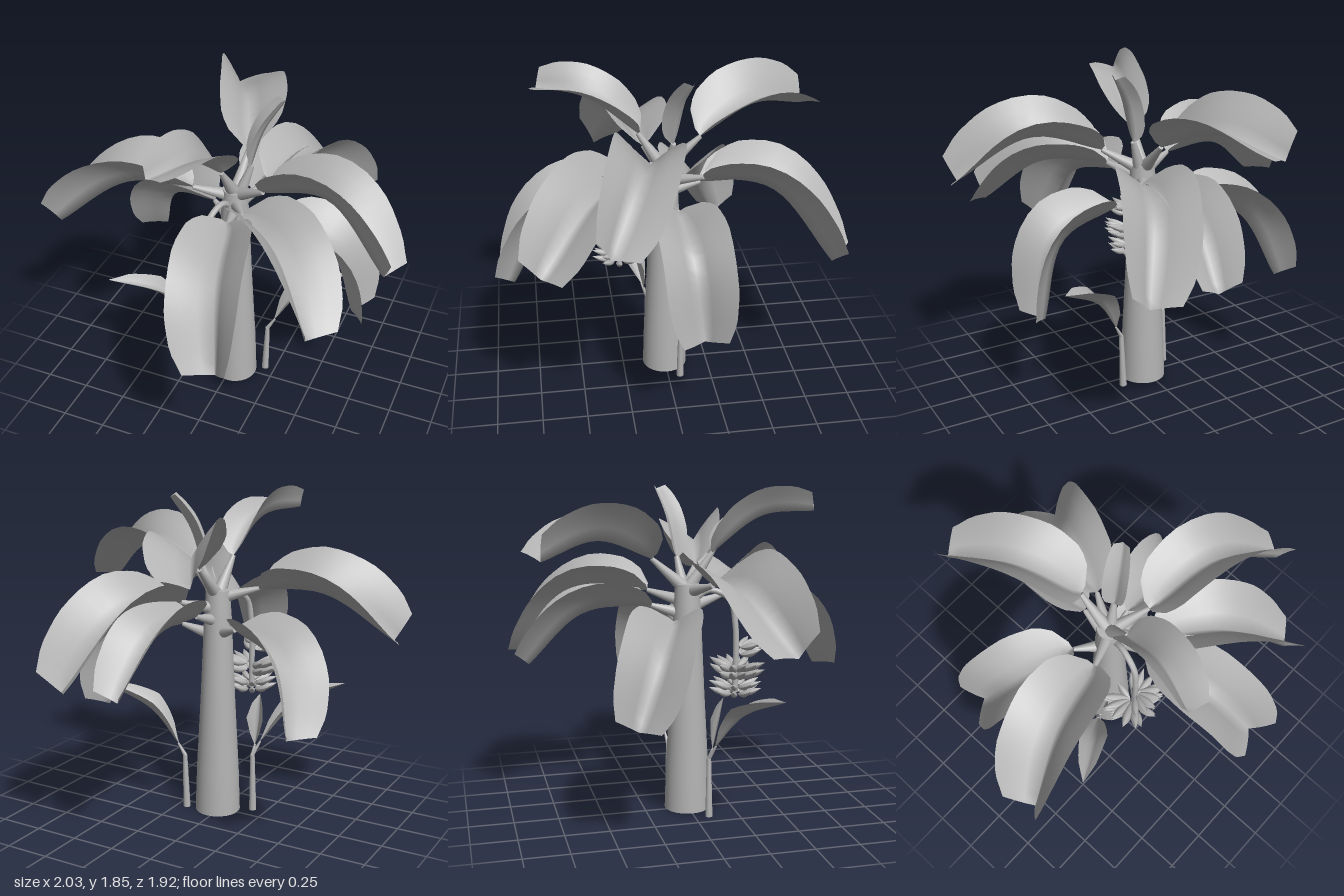
import * as THREE from 'three';

const plant = new THREE.MeshStandardMaterial({ color: 0xb3b3b3, side: THREE.DoubleSide });
plant.name = 'plantGrey';

const V = (p) => new THREE.Vector3(...p);

function add(parent, name, geometry) {
  const mesh = new THREE.Mesh(geometry, plant);
  mesh.name = name;
  parent.add(mesh);
  return mesh;
}

// Tapered round rod between two points
function rod(parent, name, a, b, r0, r1) {
  const dir = b.clone().sub(a);
  const mesh = add(parent, name, new THREE.CylinderGeometry(r1, r0, dir.length(), 12));
  mesh.position.copy(a).addScaledVector(dir, 0.5);
  mesh.quaternion.setFromUnitVectors(new THREE.Vector3(0, 1, 0), dir.normalize());
}

// Half-width along the blade, as [position, width] stops
const BROAD = [[0, 0.2], [0.06, 0.6], [0.16, 0.86], [0.35, 1], [0.65, 0.98], [0.85, 0.86], [1, 0.63]];
const POINTED = [[0, 0.05], [0.2, 0.55], [0.5, 1], [0.8, 0.65], [1, 0.02]];

function widthAt(stops, t) {
  let i = 1;
  while (i < stops.length - 1 && stops[i][0] < t) i++;
  const [t0, w0] = stops[i - 1], [t1, w1] = stops[i];
  return w0 + (w1 - w0) * (t - t0) / (t1 - t0);
}

// Blade folded into a trough along a curved midrib, twisting towards its tip
function bladeGeometry(points, width, twistDeg, stops, fold) {
  const curve = new THREE.CatmullRomCurve3(points);
  const heading = points[1].clone().sub(points[0]).setY(0).normalize();
  const side = heading.cross(new THREE.Vector3(0, 1, 0)).normalize();
  const rows = 16, cols = 7, pos = [], index = [];
  for (let i = 0; i <= rows; i++) {
    const t = i / rows;
    const p = curve.getPointAt(t), T = curve.getTangentAt(t);
    const N = side.clone().cross(T).normalize();
    const S = T.clone().cross(N).normalize();
    const w = width * widthAt(stops, t);
    const roll = THREE.MathUtils.degToRad(twistDeg * t);
    for (let j = 0; j < cols; j++) {
      const u = (j - 3) / 3, a = Math.abs(u);
      // each half curls slightly outward towards its rim
      const ang = THREE.MathUtils.degToRad(fold + 8 * (1 - a));
      const x = Math.sign(u) * a * w * Math.cos(ang), y = a * w * Math.sin(ang);
      const q = p.clone()
        .addScaledVector(S, x * Math.cos(roll) + y * Math.sin(roll))
        .addScaledVector(N, y * Math.cos(roll) - x * Math.sin(roll));
      pos.push(q.x, q.y, q.z);
      if (i < rows && j < cols - 1) {
        const k = i * cols + j;
        index.push(k, k + 1, k + cols, k + 1, k + cols + 1, k + cols);
      }
    }
  }
  const g = new THREE.BufferGeometry();
  g.setAttribute('position', new THREE.Float32BufferAttribute(pos, 3));
  g.setIndex(index);
  g.computeVertexNormals();
  return g;
}

// Crown leaves: midrib base, middle and tip, half-width, twist in degrees
const CROWN = [
  [[0.22, 1.39, 0.1], [0.6, 1.49, 0.19], [0.96, 1.25, 0.38], 0.245, -25],
  [[-0.19, 1.32, 0.09], [-0.55, 1.31, 0.17], [-0.9, 1.06, 0.32], 0.28, 27],
  [[0, 1.48, 0.14], [-0.05, 1.68, 0.41], [-0.16, 1.71, 0.67], 0.175, -28],
  [[0.02, 1.45, -0.2], [-0.12, 1.57, -0.52], [-0.31, 1.49, -0.84], 0.255, 25],
  [[0.14, 1.26, -0.2], [0.27, 1.23, -0.55], [0.465, 0.87, -0.85], 0.27, -12],
  [[0.04, 1.19, -0.2], [0.05, 1.16, -0.58], [0.09, 0.88, -0.88], 0.22, 12],
  [[0.22, 1.1, -0.05], [0.55, 0.98, -0.08], [0.69, 0.57, -0.12], 0.25, 8],
  [[-0.15, 1.12, -0.11], [-0.46, 1.01, -0.25], [-0.61, 0.66, -0.41], 0.255, -12],
  [[0.14, 1.28, 0.19], [0.43, 1.27, 0.44], [0.68, 1.01, 0.71], 0.27, -27],
  [[0.07, 1.23, 0.22], [0.16, 1.12, 0.6], [0.26, 0.76, 0.85], 0.265, 23],
];

// Plump curved fruit pointing along +x with its tip turned up
function fruitGeometry() {
  const radii = [0, 0.009, 0.016, 0.019, 0.019, 0.015, 0.008, 0];
  const g = new THREE.LatheGeometry(radii.map((r, i) => new THREE.Vector2(r, i / 7 * 0.13)), 8);
  g.rotateZ(-Math.PI / 2);
  const p = g.attributes.position;
  for (let i = 0; i < p.count; i++) p.setY(i, p.getY(i) + 2.2 * p.getX(i) ** 2);
  g.computeVertexNormals();
  return g;
}

export function createModel() {
  const model = new THREE.Group();
  model.name = 'fruitPalm';

  // Trunk, open underneath and capped on top
  const profile = [[0.13, 0], [0.122, 0.25], [0.098, 0.7], [0.078, 1.15], [0.067, 1.305], [0.066, 1.31], [0, 1.31]];
  const trunk = new THREE.LatheGeometry(profile.map(([r, y]) => new THREE.Vector2(r, y)), 28);
  add(model, 'trunk', trunk).position.x = 0.02;

  // Crown of large leaves on tapered stalks
  const crown = new THREE.Group();
  crown.name = 'crown';
  model.add(crown);
  for (const [a, b, c, width, twist] of CROWN) {
    const base = V(a);
    add(crown, 'crownLeaf', bladeGeometry([base, V(b), V(c)], width, twist, BROAD, 42));
    const root = new THREE.Vector3(0.02, Math.min(base.y - 0.06, 1.27), 0);
    rod(crown, 'leafStalk', root, base, 0.042, 0.013);
  }

  // Young upright leaf in the middle of the crown
  const shoot = V([0.1, 1.45, -0.04]);
  rod(crown, 'shootStalk', V([0.02, 1.2, 0]), shoot, 0.045, 0.015);
  add(crown, 'youngLeaf', bladeGeometry([shoot, V([0.16, 1.66, -0.07]), V([0.25, 1.82, -0.12])], 0.085, 0, BROAD, 40));

  // Hanging fruit stalk
  const bunch = new THREE.Group();
  bunch.name = 'fruitBunch';
  model.add(bunch);
  const stalk = new THREE.CatmullRomCurve3(
    [[0.01, 1.2, 0.02], [-0.01, 1.27, 0.12], [-0.04, 1.22, 0.23], [-0.055, 1.08, 0.26], [-0.06, 0.69, 0.26]].map(V));
  add(bunch, 'fruitStalk', new THREE.TubeGeometry(stalk, 24, 0.017, 10));

  // Hands of fruit: height, facing angle, half sweep, fruits per layer, size
  const fruit = fruitGeometry();
  for (const [y, facing, sweep, count, size] of [
    [0.95, -90, 45, 5, 1], [0.835, 180, 45, 5, 1.25], [0.835, 0, 45, 5, 1.1], [0.725, 0, 160, 9, 0.97]]) {
    for (let layer = 0; layer < 2; layer++) {
      for (let i = 0; i < count; i++) {
        const a = THREE.MathUtils.degToRad(facing + sweep * (2 * i / (count - 1) - 1));
        const mesh = add(bunch, 'fruit', fruit);
        mesh.position.set(-0.06 + 0.025 * Math.cos(a), y - layer * 0.04, 0.26 - 0.025 * Math.sin(a));
        mesh.rotation.y = a;
        mesh.scale.setScalar(size);
      }
    }
  }

  // Two young side plants
  const sidePlants = [
    { foot: [-0.17, 0, 0.08], top: [-0.165, 0.34, 0.08], leaves: [
      [[-0.2, 0.42, 0.11], [-0.36, 0.63, 0.22], [-0.6, 0.76, 0.37], 0.1],
      [[-0.17, 0.4, 0.1], [-0.175, 0.54, 0.13], [-0.17, 0.69, 0.16], 0.07]] },
    { foot: [0.19, 0, -0.07], top: [0.2, 0.32, -0.07], leaves: [
      [[0.24, 0.39, -0.08], [0.38, 0.59, -0.14], [0.62, 0.73, -0.23], 0.12]] },
  ];
  for (const { foot, top, leaves } of sidePlants) {
    const side = new THREE.Group();
    side.name = 'sidePlant';
    model.add(side);
    rod(side, 'sideStem', V(foot), V(top), 0.021, 0.013);
    for (const [a, b, c, width] of leaves) {
      rod(side, 'sideStalk', V(top), V(a), 0.012, 0.006);
      add(side, 'sideLeaf', bladeGeometry([V(a), V(b), V(c)], width, 0, POINTED, 35));
    }
  }
  return model;
}
